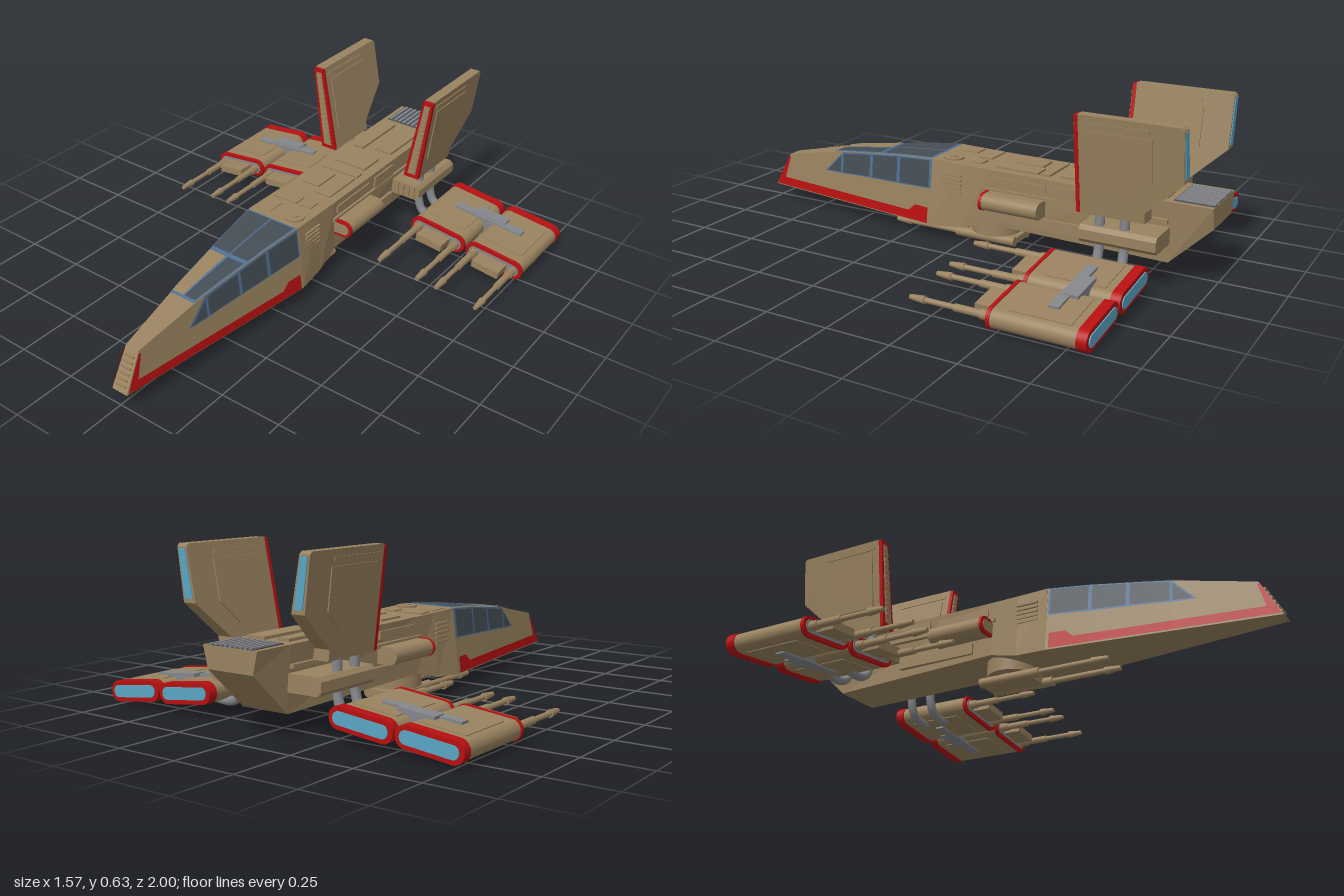
import * as THREE from 'three';

const mat = (name, color, side = THREE.FrontSide) => {
  const m = new THREE.MeshStandardMaterial({ color, side });
  m.name = name;
  return m;
};

export function createModel() {
  const D = THREE.DoubleSide;
  const tan = mat('tan hull', 0x99825f, D), red = mat('red trim', 0xb81010, D);
  const grey = mat('grey metal', 0x85868a), glass = mat('dark glass', 0x454e55, D);
  const frame = mat('blue frame', 0x4f6f95, D), glow = mat('engine blue', 0x58a6c4, D);
  const vent = mat('dark vent', 0x4a505a);
  const model = new THREE.Group();
  model.name = 'spacecraft';

  const add = (parent, name, geo, m, x = 0, y = 0, z = 0) => {
    const mesh = new THREE.Mesh(geo, m);
    mesh.name = name;
    mesh.position.set(x, y, z);
    parent.add(mesh);
    return mesh;
  };
  // Box given by its ranges
  const box = (p, name, m, [x0, x1], [y0, y1], [z0, z1]) =>
    add(p, name, new THREE.BoxGeometry(x1 - x0, y1 - y0, z1 - z0), m, (x0 + x1) / 2, (y0 + y1) / 2, (z0 + z1) / 2);
  // Cylinder along z
  const rod = (p, name, m, r, z0, z1, x, y, r2 = r) =>
    add(p, name, new THREE.CylinderGeometry(r2, r, z1 - z0, 14).rotateX(Math.PI / 2), m, x, y, (z0 + z1) / 2);
  const flat = (pos) => {
    const g = new THREE.BufferGeometry();
    g.setAttribute('position', new THREE.Float32BufferAttribute(pos.flat(), 3));
    g.computeVertexNormals();
    return g;
  };
  // Closed loft through four-cornered rings, from front to back
  const loft = (rings) => {
    const t = [];
    for (let k = 0; k + 1 < rings.length; k++)
      for (let i = 0; i < 4; i++) {
        const a = rings[k][i], b = rings[k][(i + 1) % 4], c = rings[k + 1][(i + 1) % 4], d = rings[k + 1][i];
        t.push(a, d, c, a, c, b);
      }
    const f = rings[0], e = rings[rings.length - 1];
    t.push(f[0], f[1], f[2], f[0], f[2], f[3], e[0], e[2], e[1], e[0], e[3], e[2]);
    return flat(t);
  };
  // Thin strip of quads through pairs of points
  const ribbon = (pairs) => {
    const t = [];
    for (let i = 0; i + 1 < pairs.length; i++) {
      const [a, b] = pairs[i], [c, d] = pairs[i + 1];
      t.push(a, c, d, a, d, b);
    }
    return flat(t);
  };
  const ring = (z, yb, wb, yt, wt, zt = z) => [[wb, yb, z], [wt, yt, zt], [-wt, yt, zt], [-wb, yb, z]];

  // Forward hull: stations of z, bottom half width, top height, top half width
  const stations = [[1, 0.035, 0.188, 0.024], [0.92, 0.046, 0.205, 0.03], [0.61, 0.087, 0.27, 0.062],
    [0.3, 0.128, 0.31, 0.098], [0.13, 0.15, 0.325, 0.118]];
  const at = (z) => {
    let i = 0;
    while (i < stations.length - 2 && z < stations[i + 1][0]) i++;
    const a = stations[i], b = stations[i + 1], t = (z - a[0]) / (b[0] - a[0]);
    return a.map((v, k) => v + (b[k] - v) * t);
  };
  const sidePoint = (s, z, y, off) => {
    const [, wb, yt, wt] = at(z);
    return [s * (wb + (wt - wb) * (y - 0.06) / (yt - 0.06) + off), y, z];
  };
  const topPoint = (z, u, off) => { const [, , yt, wt] = at(z); return [u * wt, yt + off, z]; };
  const sidePlate = (name, m, s, rows, off) =>
    add(model, name, ribbon(rows.map(([z, lo, hi]) => [sidePoint(s, z, lo, off), sidePoint(s, z, hi, off)])), m);
  const topPlate = (name, m, u0, u1, zs, off) =>
    add(model, name, ribbon(zs.map((z) => [topPoint(z, u0, off), topPoint(z, u1, off)])), m);

  add(model, 'forward hull', loft([ring(1, 0.06, 0.035, 0.205, 0.03, 0.92),
    ...stations.slice(2).map(([z, wb, yt, wt]) => ring(z, 0.06, wb, yt, wt))]), tan);
  add(model, 'main fuselage', loft([ring(0.13, 0.06, 0.15, 0.325, 0.12), ring(0, 0.068, 0.137, 0.322, 0.12),
    ring(-0.12, 0.1, 0.12, 0.32, 0.12), ring(-0.84, 0.08, 0.1, 0.316, 0.12), ring(-1, 0.235, 0.1, 0.316, 0.12)]), tan);

  // Canopy roof
  topPlate('canopy roof frame', frame, -1, 1, [0.66, 0.61, 0.3, 0.135], 0.002);
  topPlate('roof cover', tan, -0.95, -0.06, [0.65, 0.61, 0.41], 0.005);
  topPlate('roof pane', glass, 0.06, 0.92, [0.65, 0.61, 0.41], 0.005);
  for (const [a, b] of [[-0.95, -0.03], [0.03, 0.95]])
    topPlate('rear roof pane', glass, a, b, [0.39, 0.3, 0.145], 0.005);
  for (let i = 0; i < 4; i++) topPlate('nose slot', tan, -0.6, 0.6, [0.75 - i * 0.02, 0.74 - i * 0.02], 0.006);
  for (let i = 0; i < 6; i++) {
    const y = 0.08 + i * 0.019, z = 1 - (y - 0.06) * 0.55;
    box(model, 'nose slat', tan, [-0.022, 0.022], [y, y + 0.008], [z - 0.01, z + 0.004]);
  }

  for (const s of [-1, 1]) {
    // Canopy sides
    sidePlate('side canopy frame', frame, s, [[0.7, 0.175, 0.178], [0.61, 0.178, 0.268], [0.52, 0.185, 0.281],
      [0.3, 0.196, 0.309], [0.135, 0.206, 0.323]], 0.003);
    for (const rows of [[[0.685, 0.18, 0.184], [0.615, 0.184, 0.255]], [[0.603, 0.184, 0.262], [0.52, 0.19, 0.275], [0.455, 0.194, 0.284]],
      [[0.44, 0.195, 0.286], [0.31, 0.201, 0.303]], [[0.295, 0.202, 0.304], [0.145, 0.21, 0.317]]])
      sidePlate('side pane', glass, s, rows, 0.006);
    // Red trim along the chine and up the nose
    sidePlate('chine stripe', red, s, [[0.98, 0.065, 0.1], [0.92, 0.065, 0.1], [0.61, 0.065, 0.1], [0.3, 0.065, 0.1],
      [0.24, 0.065, 0.1], [0.21, 0.065, 0.128], [0.145, 0.065, 0.128]], 0.004);
    add(model, 'nose stripe', ribbon([[sidePoint(s, 0.994, 0.065, 0.003), sidePoint(s, 0.955, 0.065, 0.003)],
      [sidePoint(s, 0.925, 0.195, 0.003), sidePoint(s, 0.915, 0.195, 0.003)]]), red);
    for (let i = 0; i < 3; i++) {
      const z = 0.58 - i * 0.055;
      sidePlate('side hatch', tan, s, [[z, 0.115, 0.165], [z - 0.038, 0.115, 0.168]], 0.006);
      sidePlate('nose louvre', tan, s, [[0.9, 0.145 + i * 0.016, 0.153 + i * 0.016], [0.82, 0.145 + i * 0.016, 0.153 + i * 0.016]], 0.006);
    }
  }

  // Deck fittings on the spine: x, z, width, length
  for (const [x, z, w, l] of [[-0.07, 0.06, 0.06, 0.08], [-0.05, -0.04, 0.11, 0.06], [0.05, -0.04, 0.05, 0.05],
    [-0.04, -0.23, 0.08, 0.12], [0.05, -0.22, 0.07, 0.18], [0, -0.45, 0.15, 0.11], [-0.06, -0.68, 0.05, 0.26],
    [0.05, -0.7, 0.08, 0.25], [0, -0.34, 0.17, 0.04]])
    box(model, 'deck panel', tan, [x - w / 2, x + w / 2], [0.31, 0.327], [z - l / 2, z + l / 2]);
  add(model, 'round hatch', new THREE.CylinderGeometry(0.04, 0.04, 0.012, 20), tan, 0.06, 0.325, 0.07);
  add(model, 'hatch cap', new THREE.CylinderGeometry(0.017, 0.017, 0.02, 16), tan, 0.06, 0.325, 0.07);
  box(model, 'rear deck vent', vent, [-0.1, 0.1], [0.3, 0.319], [-0.998, -0.85]);
  for (let i = 0; i < 9; i++)
    box(model, 'vent slat', grey, [-0.093 + i * 0.022, -0.083 + i * 0.022], [0.31, 0.323], [-0.998, -0.855]);

  // Belly turret with twin guns
  add(model, 'turret ring', new THREE.CylinderGeometry(0.1, 0.1, 0.06, 28), tan, 0, 0.07, -0.09);
  add(model, 'turret base', new THREE.CylinderGeometry(0.06, 0.06, 0.03, 20), tan, 0, 0.035, -0.09);
  box(model, 'gun cradle', tan, [-0.055, 0.055], [0.008, 0.033], [-0.2, 0.02]);
  for (const x of [-0.055, 0.055]) {
    rod(model, 'belly gun', tan, 0.019, -0.2, 0.06, x, 0.02);
    rod(model, 'belly barrel', tan, 0.011, 0.06, 0.3, x, 0.02);
    rod(model, 'belly muzzle', tan, 0.015, 0.28, 0.345, x, 0.02, 0.01);
  }

  // Everything off the centre line is built on the left and mirrored
  const half = new THREE.Group();
  half.name = 'left side';
  const stadium = (w, h) => {
    const r = h / 2, c = w / 2 - r, s = new THREE.Shape();
    s.absarc(c, 0, r, -Math.PI / 2, Math.PI / 2);
    s.absarc(-c, 0, r, Math.PI / 2, Math.PI * 1.5);
    return s;
  };
  const slab = (p, name, m, w, h, z0, z1, x = 0, y = 0) =>
    add(p, name, new THREE.ExtrudeGeometry(stadium(w, h), { depth: z1 - z0, bevelEnabled: false, curveSegments: 10 }), m, x, y, z0);

  // Intake nacelle, ledge and side panels
  slab(half, 'nacelle', tan, 0.12, 0.065, -0.36, -0.125, 0.14, 0.208);
  slab(half, 'nacelle red lip', red, 0.124, 0.069, -0.127, -0.115, 0.14, 0.208);
  slab(half, 'nacelle mouth', tan, 0.1, 0.045, -0.116, -0.112, 0.14, 0.208);
  box(half, 'side ledge', tan, [0.1, 0.13], [0.235, 0.25], [-0.84, -0.1]);
  box(half, 'side panel', tan, [0.1, 0.126], [0.265, 0.295], [-0.36, -0.13]);
  box(half, 'rear side panel', tan, [0.1, 0.127], [0.25, 0.3], [-0.54, -0.4]);
  box(half, 'lower side duct', tan, [0.09, 0.128], [0.12, 0.165], [-0.54, -0.2]);
  for (let i = 0; i < 5; i++)
    box(half, 'side louvre', tan, [0.11, 0.133], [0.2 + i * 0.018, 0.209 + i * 0.018], [0.0, 0.09]);

  // Wing mount, ribbed at its end
  const mount = new THREE.Shape([[0.09, 0.155], [0.235, 0.155], [0.25, 0.17], [0.25, 0.205], [0.235, 0.22], [0.09, 0.22]]
    .map((p) => new THREE.Vector2(...p)));
  add(half, 'wing mount', new THREE.ExtrudeGeometry(mount, { depth: 0.29, bevelEnabled: false }), tan, 0, 0, -0.845);
  for (let i = 0; i < 4; i++)
    box(half, 'mount rib', tan, [0.14 + i * 0.026, 0.152 + i * 0.026], [0.16, 0.215], [-0.56, -0.549]);

  // Bent struts from the fin down to the wing
  for (const z of [-0.62, -0.715]) {
    const path = new THREE.CatmullRomCurve3([[0.212, 0.285], [0.212, 0.2], [0.214, 0.13], [0.235, 0.075], [0.28, 0.053], [0.34, 0.055]]
      .map(([x, y]) => new THREE.Vector3(x, y, z)));
    add(half, 'strut', new THREE.TubeGeometry(path, 24, 0.018, 12), grey);
  }

  // Fin: profile of z and y, its thickness tapering with height
  const finSlab = (name, m, pts, d0, d1) => {
    const shape = new THREE.Shape(pts.map(([z, y]) => new THREE.Vector2(-z, y)));
    const g = new THREE.ExtrudeGeometry(shape, { depth: 1, bevelEnabled: false }), p = g.attributes.position;
    for (let i = 0; i < p.count; i++) {
      const y = p.getY(i), t = (y - 0.265) / 0.37, d = d0 + (d1 - d0) * p.getZ(i);
      const inner = 0.178 + 0.072 * t, outer = 0.245 + 0.048 * t;
      p.setXYZ(i, inner + (outer - inner) * d, y, -p.getX(i));
    }
    g.computeVertexNormals();
    return add(half, name, g, m);
  };
  const rect = (z0, z1, y0, y1) => [[z0, y0], [z1, y0], [z1, y1], [z0, y1]];
  finSlab('fin', tan, [[-0.556, 0.265], [-0.8, 0.265], [-0.8, 0.305], [-0.94, 0.435], [-0.94, 0.625], [-0.93, 0.635], [-0.556, 0.635]], 0, 1);
  finSlab('fin red edge', red, rect(-0.543, -0.558, 0.267, 0.632), -0.02, 1.02);
  finSlab('fin grille', tan, rect(-0.54, -0.544, 0.285, 0.615), 0.22, 0.78);
  for (let i = 0; i < 14; i++) finSlab('fin grille slat', tan, rect(-0.536, -0.542, 0.292 + i * 0.023, 0.302 + i * 0.023), 0.26, 0.74);
  finSlab('fin exhaust', glow, rect(-0.939, -0.943, 0.45, 0.62), 0.18, 0.82);
  const panel = [[-0.59, 0.35], [-0.75, 0.35], [-0.83, 0.43], [-0.83, 0.58], [-0.59, 0.58]];
  finSlab('fin outer panel', tan, panel, 1, 1.09);
  finSlab('fin inner panel', tan, panel, -0.09, 0);
  finSlab('fin top bar', tan, rect(-0.58, -0.82, 0.595, 0.61), -0.09, 1.09);

  // Wing of two pods, each with twin guns
  for (const [x, y, name] of [[0.396, 0.085, 'inner pod'], [0.659, 0.061, 'outer pod']]) {
    const pod = new THREE.Group();
    pod.name = name;
    pod.position.set(x, y, 0);
    pod.rotation.z = -0.115;
    half.add(pod);
    slab(pod, 'pod body', tan, 0.25, 0.072, -0.8, -0.485);
    slab(pod, 'front red rim', red, 0.256, 0.079, -0.49, -0.476);
    slab(pod, 'front plate', grey, 0.226, 0.05, -0.478, -0.473);
    slab(pod, 'rear red rim', red, 0.256, 0.079, -0.832, -0.795);
    slab(pod, 'engine exhaust', glow, 0.22, 0.046, -0.836, -0.83);
    box(pod, 'pod skin', tan, [-0.088, 0.088], [-0.039, 0.039], [-0.765, -0.54]);
    box(pod, 'gun bridge', tan, [-0.06, 0.06], [-0.015, 0.015], [-0.475, -0.4]);
    for (const gx of [-0.088, 0.088]) {
      rod(pod, 'gun collar', tan, 0.018, -0.48, -0.44, gx, 0);
      rod(pod, 'gun barrel', tan, 0.014, -0.45, -0.34, gx, 0);
      rod(pod, 'gun tube', tan, 0.01, -0.35, -0.2, gx, 0);
      rod(pod, 'gun muzzle', tan, 0.015, -0.225, -0.165, gx, 0, 0.009);
    }
  }
  // Brace across both pods, above and below
  const brace = new THREE.Group();
  brace.name = 'pod brace';
  brace.position.set(0.528, 0.073, 0);
  brace.rotation.z = -0.092;
  half.add(brace);
  box(brace, 'brace bar', grey, [-0.155, 0.155], [-0.046, 0.048], [-0.69, -0.652]);
  box(brace, 'brace block', grey, [-0.072, 0.072], [-0.044, 0.052], [-0.72, -0.665]);

  const mirrored = half.clone();
  mirrored.name = 'right side';
  mirrored.scale.x = -1;
  model.add(half, mirrored);
  return model;
}
